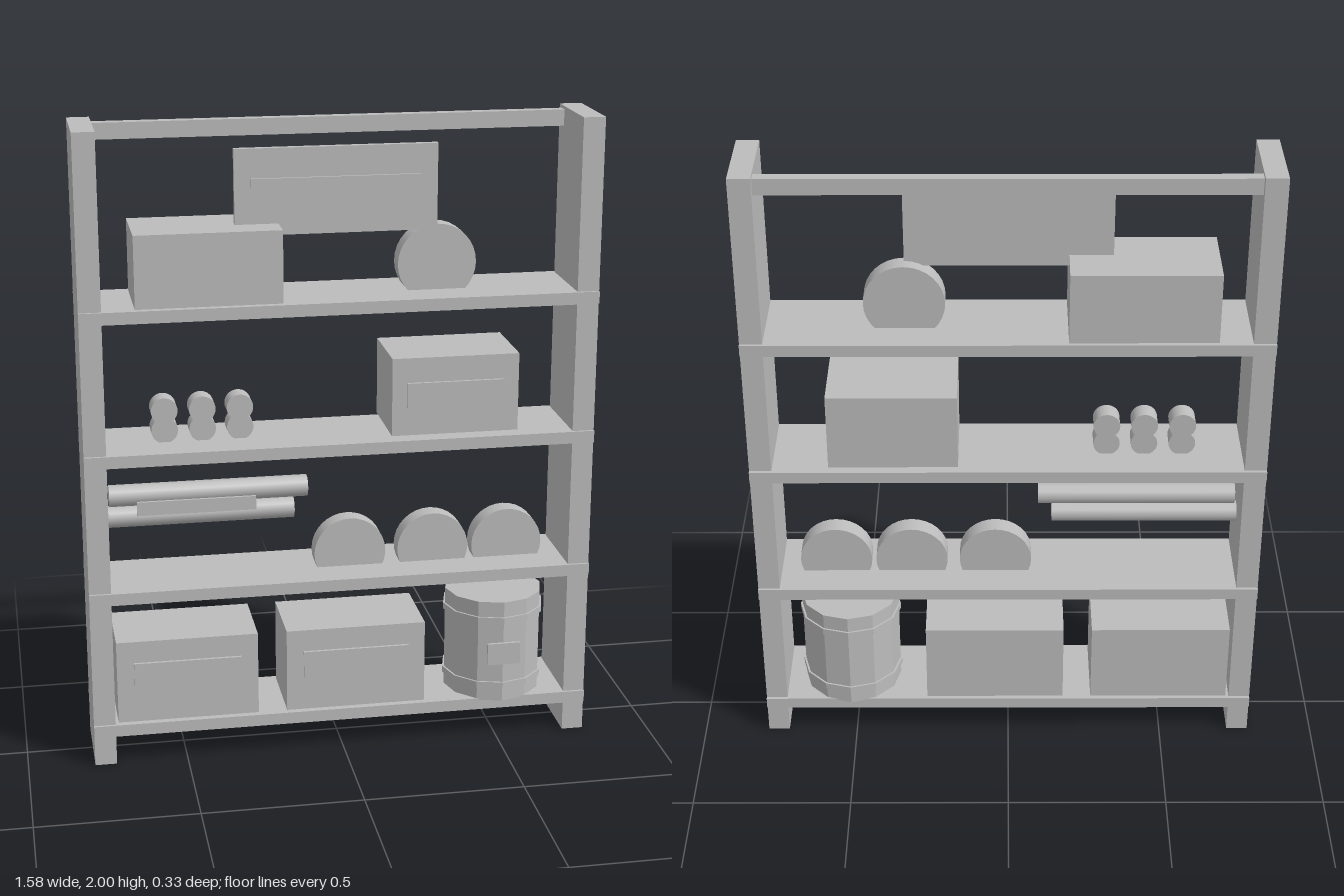
import * as THREE from 'three';

export function createModel() {
  const root = new THREE.Group();
  const grey = new THREE.MeshStandardMaterial({ color: 0xbcbcbc });
  grey.name = 'plain grey';

  const add = (name, geometry) => {
    const mesh = new THREE.Mesh(geometry, grey);
    mesh.name = name;
    root.add(mesh);
    return mesh;
  };
  // Box given by its lower and upper limits on each axis
  const box = (name, x0, x1, y0, y1, z0, z1) =>
    add(name, new THREE.BoxGeometry(x1 - x0, y1 - y0, z1 - z0))
      .position.set((x0 + x1) / 2, (y0 + y1) / 2, (z0 + z1) / 2);
  // Round slab standing on edge, facing the front
  const disc = (name, x, y, r) =>
    add(name, new THREE.CylinderGeometry(r, r, 0.06, 32).rotateX(Math.PI / 2))
      .position.set(x, y, -0.01);

  // Frame
  box('leftUpright', 0.724, 0.792, 0, 2, -0.137, 0.128);
  box('rightUpright', -0.792, -0.724, 0, 2, -0.137, 0.128);
  box('topRail', -0.73, 0.73, 1.94, 1.99, -0.116, -0.083);
  for (const y of [0.135, 0.577, 1.021, 1.467]) {
    box('shelf', -0.792, 0.792, y - 0.038, y, -0.147, 0.136);
  }

  // Top shelf: crate, round slab and hanging sign
  box('topCrate', -0.624, -0.18, 1.46, 1.69, -0.133, 0.115);
  disc('topRoundSlab', 0.308, 1.549, 0.122);
  box('sign', -0.312, 0.307, 1.655, 1.918, 0, 0.02);
  box('signPlate', -0.262, 0.254, 1.78, 1.828, 0.02, 0.028);

  // Second shelf: three small figures and a labelled crate
  for (const x of [-0.537, -0.42, -0.304]) {
    disc('figureHead', x, 1.12, 0.041);
    disc('figureBody', x, 1.058, 0.041);
  }
  box('middleCrate', 0.153, 0.55, 1.032, 1.278, -0.133, 0.115);
  box('middleCrateLabel', 0.2, 0.503, 1.122, 1.2, 0.115, 0.124);

  // Third shelf: two rods with a label, three round slabs
  for (const [x0, x1, y] of [[-0.714, -0.095, 0.849], [-0.722, -0.138, 0.781]]) {
    const rod = new THREE.CylinderGeometry(0.034, 0.034, x1 - x0, 10).rotateZ(Math.PI / 2);
    add('rod', rod).position.set((x0 + x1) / 2, y, 0);
  }
  box('rodLabel', -0.63, -0.26, 0.792, 0.836, 0.031, 0.04);
  for (const x of [0.04, 0.307, 0.548]) disc('roundSlab', x, 0.621, 0.114);

  // Bottom shelf: two labelled crates
  for (const x of [-0.492, 0.043]) {
    box('bottomCrate', x - 0.222, x + 0.222, 0.13, 0.405, -0.133, 0.115);
    box('bottomCrateLabel', x - 0.168, x + 0.168, 0.247, 0.334, 0.115, 0.124);
  }

  // Faceted barrel with two hoops and a label
  const barrelPart = (name, r, y0, y1) => {
    const g = new THREE.CylinderGeometry(r, r, y1 - y0, 12).toNonIndexed();
    g.computeVertexNormals();
    add(name, g).position.set(0.513, (y0 + y1) / 2, -0.002);
  };
  barrelPart('barrel', 0.157, 0.13, 0.47);
  barrelPart('barrelHoop', 0.163, 0.398, 0.419);
  barrelPart('barrelHoop', 0.163, 0.175, 0.196);
  box('barrelLabel', 0.46, 0.566, 0.262, 0.334, 0.156, 0.165);

  return root;
}
